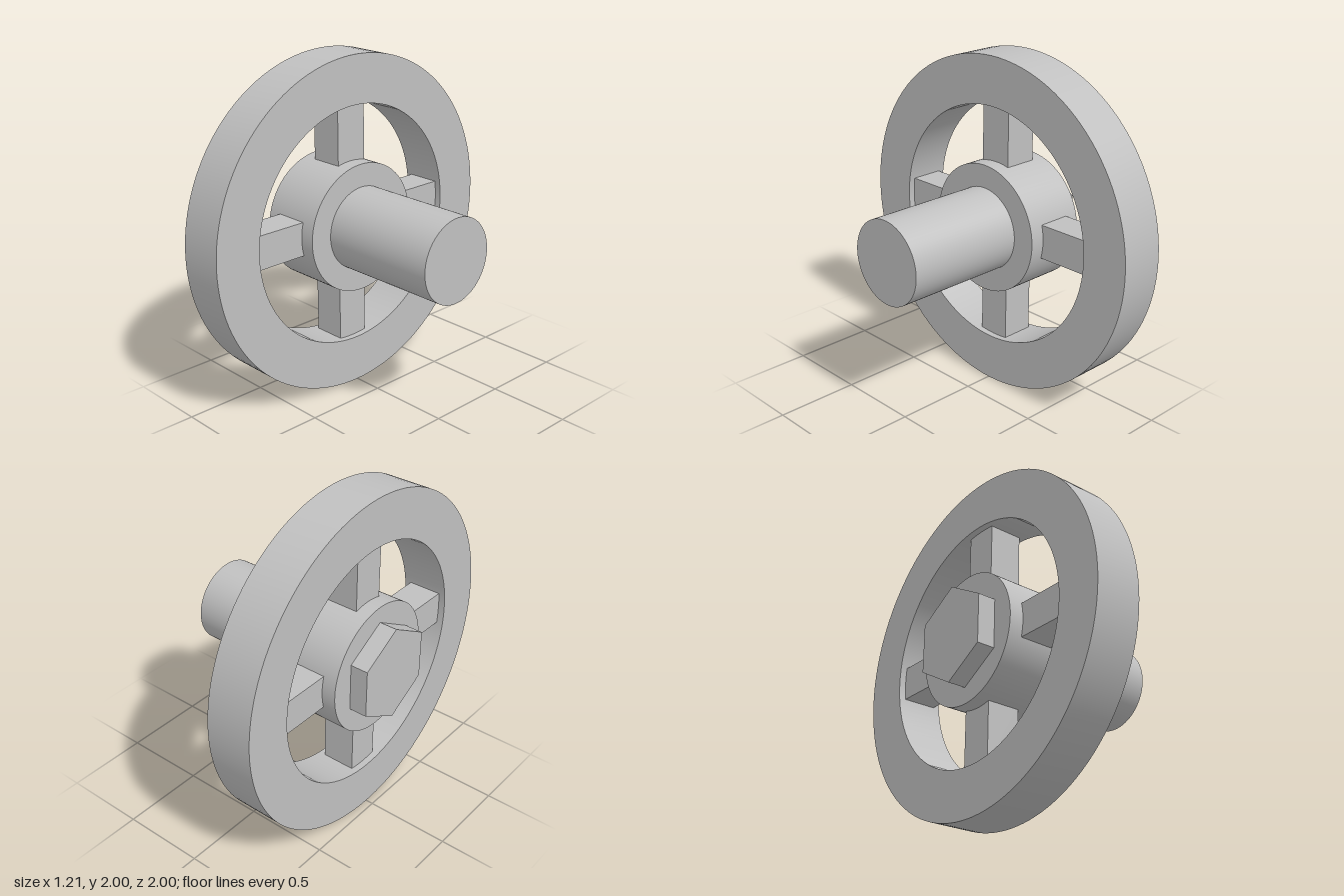
import * as THREE from 'three';
import { toCreasedNormals } from 'three/addons/utils/BufferGeometryUtils.js';

const AXLE_Y = 1;

export function createModel() {
  const model = new THREE.Group();
  model.name = 'handwheel';
  const grey = new THREE.MeshStandardMaterial({ color: 0xc0c0c0 });
  grey.name = 'plain grey';

  // All parts sit on the wheel's axis, which runs along x
  const wheel = new THREE.Group();
  wheel.name = 'wheel';
  wheel.position.y = AXLE_Y;
  model.add(wheel);

  function add(name, geometry) {
    const mesh = new THREE.Mesh(geometry, grey);
    mesh.name = name;
    wheel.add(mesh);
    return mesh;
  }

  // Solid bar along x between x0 and x1
  function bar(radius, x0, x1, sides) {
    const g = new THREE.CylinderGeometry(radius, radius, x1 - x0, sides, 1, false, Math.PI / 2);
    g.rotateZ(-Math.PI / 2);
    g.translate((x0 + x1) / 2, 0, 0);
    return toCreasedNormals(g, 0.5);
  }

  // Rim: rectangular section turned around the axis
  const inner = 0.715, outer = 1, x0 = -0.455, x1 = -0.175;
  const section = [[inner, x0], [outer, x0], [outer, x1], [inner, x1], [inner, x0]]
    .map(([r, x]) => new THREE.Vector2(r, x));
  const rim = new THREE.LatheGeometry(section, 128);
  rim.rotateZ(-Math.PI / 2);
  add('rim', toCreasedNormals(rim, 0.5));

  // Hub, shaft and hexagonal bolt head
  add('hub', bar(0.383, -0.5, -0.125, 96));
  add('shaft', bar(0.247, -0.125, 0.605, 96));
  add('boltHead', bar(0.287, -0.607, -0.5, 6));

  // Four square spokes, with ends sunk into hub and rim
  for (let i = 0; i < 4; i++) {
    const g = new THREE.BoxGeometry(0.2, 0.38, 0.2);
    g.translate((x0 + x1) / 2, 0.54, 0);
    add('spoke' + (i + 1), g).rotation.x = i * Math.PI / 2;
  }

  return model;
}
